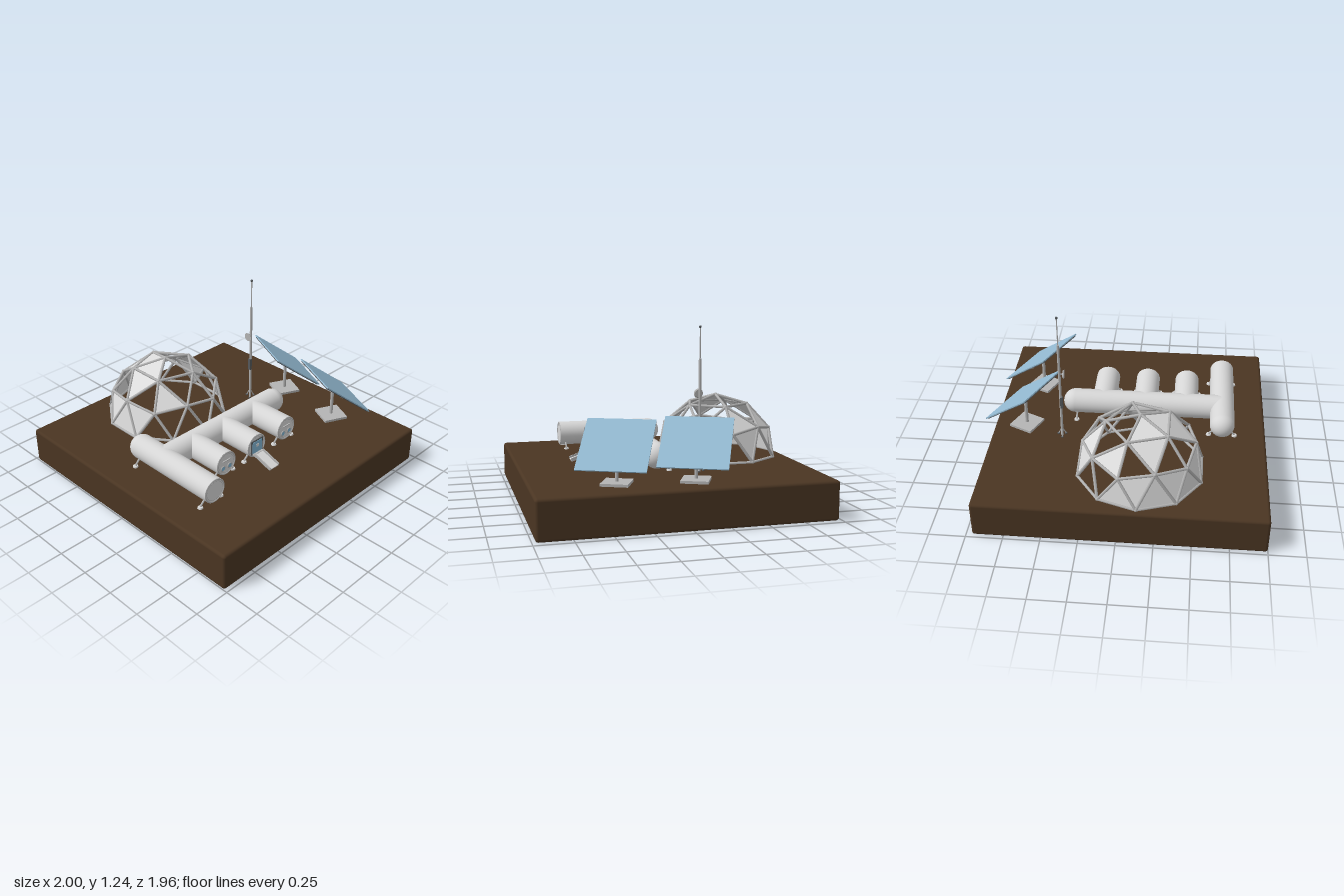
import * as THREE from 'three';
import { RoundedBoxGeometry } from 'three/addons/geometries/RoundedBoxGeometry.js';

const mat = (name, color, side = THREE.FrontSide) => {
  const m = new THREE.MeshStandardMaterial({ color, side });
  m.name = name;
  return m;
};

export function createModel() {
  const soil = mat('brown soil', 0x4a3522);
  const shell = mat('white shell', 0xd6d6d6);
  const metal = mat('grey metal', 0xb4b4b4);
  const dark = mat('dark metal', 0x55595c);
  const blue = mat('solar blue', 0x94bad2);
  const glass = mat('window blue', 0x7fb2d0);
  const skin = mat('dome panel', 0xdcdcdc, THREE.DoubleSide);
  const model = new THREE.Group();
  const V = (x, y, z) => new THREE.Vector3(x, y, z);
  const GY = 0.265, R = 0.088, CY = 0.375;

  const group = (name, parent = model) => {
    const g = new THREE.Group();
    g.name = name;
    parent.add(g);
    return g;
  };
  const add = (parent, name, geo, m, x = 0, y = 0, z = 0) => {
    const mesh = new THREE.Mesh(geo, m);
    mesh.name = name;
    mesh.position.set(x, y, z);
    parent.add(mesh);
    return mesh;
  };
  const box = (p, name, m, w, h, d, x, y, z) => add(p, name, new THREE.BoxGeometry(w, h, d), m, x, y, z);
  // cylinder between two points
  const rod = (p, name, a, b, r, m, sides = 8, r2 = r) => {
    const mesh = add(p, name, new THREE.CylinderGeometry(r2, r, a.distanceTo(b), sides), m);
    mesh.position.copy(a).add(b).multiplyScalar(0.5);
    mesh.quaternion.setFromUnitVectors(V(0, 1, 0), b.clone().sub(a).normalize());
    return mesh;
  };

  // Ground block
  add(model, 'ground', new RoundedBoxGeometry(1.96, GY, 1.96, 3, 0.02), soil, -0.02, GY / 2, 0);

  // Geodesic dome: rings of an icosahedron split once
  const dome = group('dome');
  dome.position.set(-0.13, GY + 0.005, -0.5);
  const DR = 0.44;
  const at = (polar, deg) => {
    const a = THREE.MathUtils.degToRad(deg), p = THREE.MathUtils.degToRad(polar);
    return V(Math.sin(p) * Math.cos(a), Math.cos(p), -Math.sin(p) * Math.sin(a)).multiplyScalar(DR);
  };
  const apex = at(0, 0);
  const I = k => at(31.72, 72 * k), C = k => at(63.43, 72 * k);
  const M = k => at(58.28, 72 * k + 36), E = (k, s) => at(90, 72 * k + s);
  const struts = new Map();
  const verts = [];
  const closed = {
    cap: [1, 2], upper: [1, 2], sideA: [0, 3], sideB: [1],
    foot: [1, 2], left: [0, 1, 2], base: [1, 2], right: [1, 2],
  };
  const key = v => v.toArray().map(n => Math.round(n * 1000) + 0).join();
  const facet = (type, k, ...pts) => {
    pts.forEach((p, i) => {
      const q = pts[(i + 1) % 3];
      struts.set([key(p), key(q)].sort().join('|'), [p, q]);
    });
    if (closed[type].includes(k)) pts.forEach(p => verts.push(...p.toArray()));
  };
  for (let k = 0; k < 5; k++) {
    facet('cap', k, apex, I(k), I(k + 1));
    facet('upper', k, I(k), M(k), I(k + 1));
    facet('sideA', k, I(k), C(k), M(k));
    facet('sideB', k, I(k), M(k - 1), C(k));
    facet('foot', k, C(k), E(k, -18), E(k, 18));
    facet('left', k, C(k), E(k, 18), M(k));
    facet('base', k, M(k), E(k, 18), E(k, 54));
    facet('right', k, M(k), E(k, 54), C(k + 1));
  }
  const panels = new THREE.BufferGeometry();
  panels.setAttribute('position', new THREE.Float32BufferAttribute(verts, 3));
  panels.computeVertexNormals();
  add(dome, 'domePanels', panels, skin);
  const hubs = new Map();
  for (const [a, b] of struts.values()) {
    rod(dome, 'domeStrut', a, b, 0.0105, metal, 6);
    hubs.set(key(a), a).set(key(b), b);
  }
  for (const h of hubs.values()) add(dome, 'domeHub', new THREE.SphereGeometry(0.013, 8, 6), metal, h.x, h.y, h.z);

  // Habitat tubes
  const habitat = group('habitat');
  const foot = (x, z, dx, dz) => {
    rod(habitat, 'footLeg', V(x - dx * 0.04, 0.315, z - dz * 0.04), V(x, 0.275, z), 0.007, metal);
    add(habitat, 'footPad', new THREE.CylinderGeometry(0.017, 0.02, 0.01, 12), shell, x, GY + 0.005, z);
  };
  const feetAcross = (x, z) => [-1, 1].forEach(s => foot(x + s * 0.092, z, s, 0));
  const endCap = (x, z) => {
    add(habitat, 'endRim', new THREE.TorusGeometry(R - 0.006, 0.006, 8, 40), metal, x, CY, z);
    const ring = add(habitat, 'endRing', new THREE.TorusGeometry(0.07, 0.003, 6, 36), metal, x, CY, z);
    return ring;
  };
  rod(habitat, 'longTube', V(-0.685, CY, -0.122), V(-0.685, CY, 0.58), R, shell, 40);
  add(habitat, 'longTubeDome', new THREE.SphereGeometry(R, 40, 20), shell, -0.685, CY, -0.122);
  endCap(-0.685, 0.578);
  feetAcross(-0.685, 0.54);
  feetAcross(-0.685, -0.1);
  rod(habitat, 'crossTube', V(-0.685, CY, 0.09), V(0.39, CY, 0.09), R, shell, 40);
  add(habitat, 'crossTubeDome', new THREE.SphereGeometry(R, 40, 20), shell, 0.39, CY, 0.09);
  [-1, 1].forEach(s => foot(0.375, 0.09 + s * 0.092, 0, s));

  // Three side modules
  for (const x of [-0.42, -0.125, 0.18]) {
    rod(habitat, 'moduleTube', V(x, CY, 0.09), V(x, CY, 0.42), R, shell, 40);
    endCap(x, 0.418);
    feetAcross(x, 0.39);
    if (x === -0.125) continue;
    for (const s of [-1, 1]) {
      rod(habitat, 'window', V(x + s * 0.031, 0.345, 0.418), V(x + s * 0.031, 0.345, 0.424), 0.017, glass, 20);
      add(habitat, 'windowRim', new THREE.TorusGeometry(0.018, 0.004, 6, 20), metal, x + s * 0.031, 0.345, 0.422);
    }
    box(habitat, 'handRail', metal, 0.07, 0.006, 0.008, x, 0.4, 0.424);
  }

  // Airlock door and ramp
  const airlock = group('airlock');
  box(airlock, 'doorFrame', dark, 0.112, 0.108, 0.008, -0.125, 0.372, 0.422);
  box(airlock, 'door', glass, 0.09, 0.094, 0.008, -0.125, 0.37, 0.425);
  box(airlock, 'doorWindow', shell, 0.022, 0.022, 0.004, -0.125, 0.385, 0.43);
  box(airlock, 'doorStep', metal, 0.09, 0.012, 0.03, -0.125, 0.322, 0.43);
  const ramp = group('ramp', airlock);
  ramp.position.set(-0.125, 0.297, 0.513);
  ramp.rotation.x = 0.33;
  box(ramp, 'rampPlate', shell, 0.088, 0.01, 0.155, 0, 0, 0);
  for (const s of [-1, 1]) {
    box(ramp, 'rampCurb', metal, 0.008, 0.022, 0.155, s * 0.042, 0.008, 0);
  }

  // Radio mast
  const mast = group('mast');
  mast.position.set(0.455, 0, -0.19);
  rod(mast, 'mastPole', V(0, GY, 0), V(0, 1.025, 0), 0.0095, metal, 12);
  rod(mast, 'mastWhip', V(0, 1.02, 0), V(0, 1.235, 0), 0.004, metal);
  add(mast, 'mastTip', new THREE.SphereGeometry(0.009, 10, 8), dark, 0, 1.235, 0);
  rod(mast, 'dishArm', V(0, 0.79, 0), V(-0.026, 0.79, 0), 0.004, metal);
  rod(mast, 'dish', V(-0.024, 0.79, 0), V(-0.033, 0.79, 0), 0.026, metal, 20, 0.032);
  box(mast, 'mastBox', dark, 0.018, 0.09, 0.022, -0.006, 0.55, 0);
  for (let i = 0; i < 3; i++) {
    const a = i * Math.PI * 2 / 3 + 0.4, c = Math.cos(a) * 0.03, s = Math.sin(a) * 0.03;
    rod(mast, 'mastBrace', V(0, 0.33, 0), V(c, 0.27, s), 0.004, metal);
    add(mast, 'mastPad', new THREE.CylinderGeometry(0.009, 0.009, 0.008, 8), dark, c, GY + 0.004, s);
  }

  // Tilted solar panels on posts
  for (const [x, z] of [[0.745, -0.073], [0.698, 0.435]]) {
    const solar = group('solarPanel');
    solar.position.set(x, 0, z);
    solar.rotation.y = -0.435;
    box(solar, 'solarBase', metal, 0.18, 0.018, 0.18, -0.015, GY + 0.009, 0);
    rod(solar, 'solarPost', V(-0.015, GY, 0), V(-0.015, 0.51, 0), 0.012, metal, 12);
    const tilt = group('solarTilt', solar);
    tilt.position.y = 0.519;
    tilt.rotation.z = -0.652;
    box(tilt, 'solarFace', blue, 0.444, 0.008, 0.452, 0, 0, 0);
    for (let i = 0; i < 5; i++) {
      const o = -0.21 + i * 0.105;
      box(tilt, 'solarRib', dark, 0.43, 0.008, 0.008, 0, -0.008, o);
      box(tilt, 'solarCrossRib', dark, 0.008, 0.008, 0.43, o, -0.008, 0);
    }
    box(tilt, 'solarSpine', metal, 0.025, 0.018, 0.3, 0, -0.018, 0);
  }
  return model;
}
